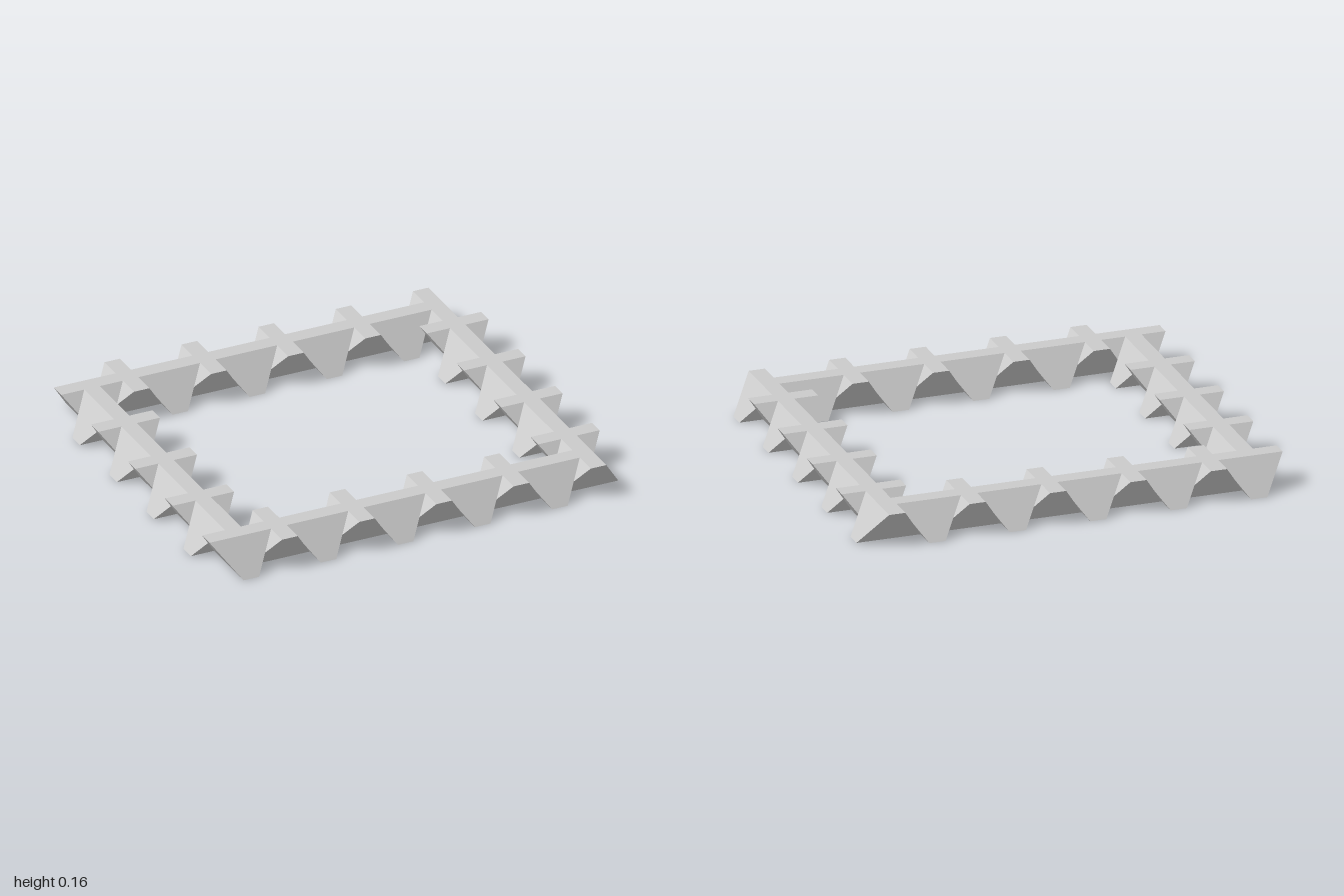
import * as THREE from 'three';

const LONG = 0.302;   // long side of each end rectangle
const SHORT = 0.076;  // short side of each end rectangle
const HEIGHT = 0.16;
const PITCH = (LONG + SHORT) / 2; // neighbouring blocks share a sloping face
const COLUMNS = 10, ROWS = 9;

// Truncated tetrahedron: top rectangle runs along x, bottom rectangle along z
function blockGeometry() {
  const geometry = new THREE.BoxGeometry(1, HEIGHT, 1);
  const p = geometry.attributes.position;
  for (let i = 0; i < p.count; i++) {
    const top = p.getY(i) > 0;
    p.setX(i, p.getX(i) * (top ? LONG : SHORT));
    p.setZ(i, p.getZ(i) * (top ? SHORT : LONG));
  }
  geometry.translate(0, HEIGHT / 2, 0);
  geometry.computeVertexNormals();
  return geometry;
}

export function createModel() {
  const model = new THREE.Group();
  model.name = 'interlockingFrame';
  const geometry = blockGeometry();
  const material = new THREE.MeshStandardMaterial({ color: 0xcccccc, flatShading: true });

  // Blocks on the border of a checkerboard, every other one turned a quarter
  for (let row = 0; row < ROWS; row++) {
    for (let col = 0; col < COLUMNS; col++) {
      const endRow = row === 0 || row === ROWS - 1;
      const endCol = col === 0 || col === COLUMNS - 1;
      if (!endRow && !endCol) continue;
      const turned = (row + col) % 2 === 1;
      const block = new THREE.Mesh(geometry, material);
      block.name = endRow && endCol ? 'cornerBlock' : turned ? 'crossBlock' : 'lengthBlock';
      block.position.set((col - (COLUMNS - 1) / 2) * PITCH, 0, (row - (ROWS - 1) / 2) * PITCH);
      if (turned) block.rotation.y = Math.PI / 2;
      model.add(block);
    }
  }
  return model;
}
